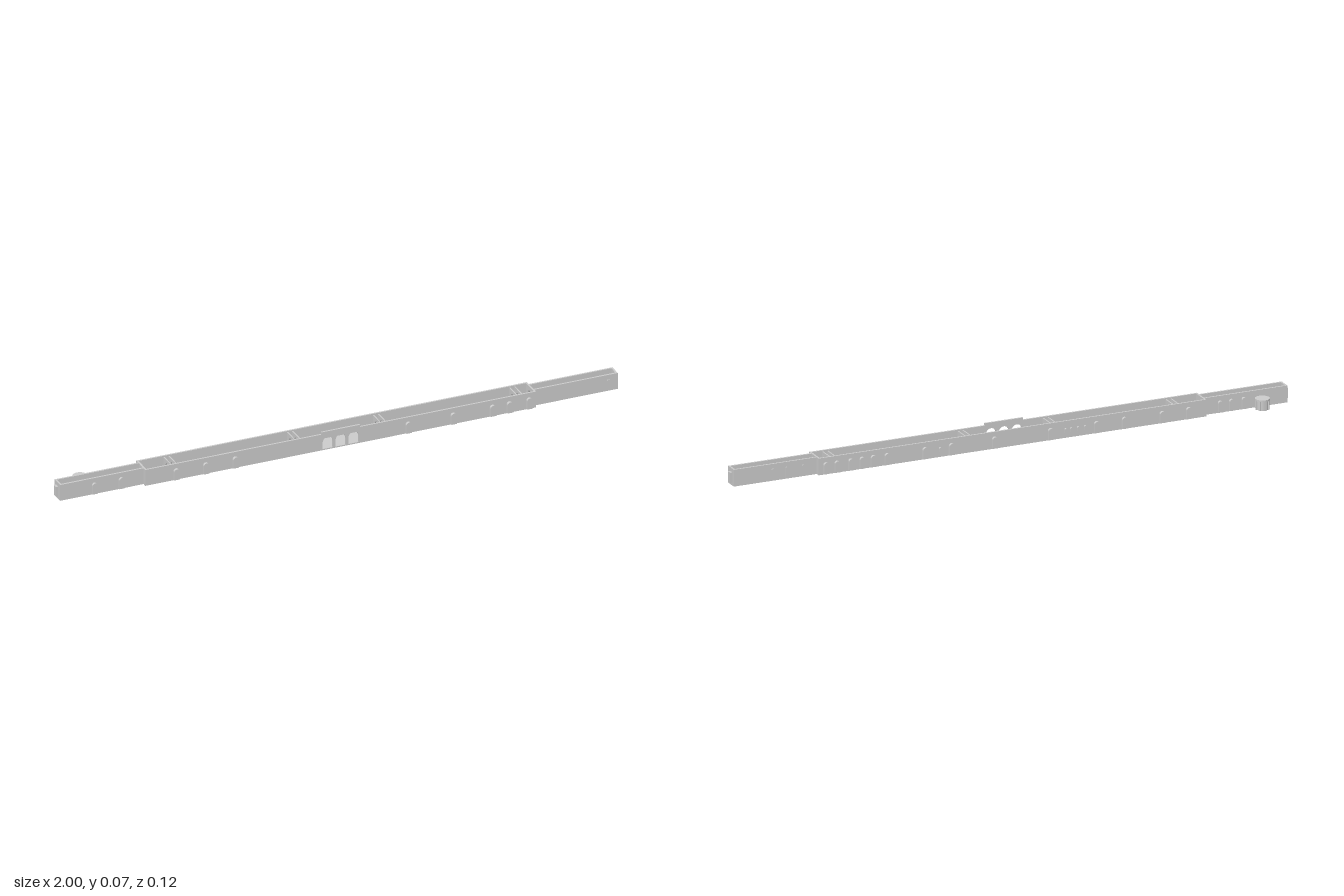
import * as THREE from 'three';

const WALL_H = 0.058, T = 0.006;
const MAIN = { x0: -0.695, x1: 0.695, z0: -0.024, z1: 0.05 };
const WING = { z0: -0.009, z1: 0.036, end: 0.992 };

export function createModel() {
  const model = new THREE.Group();
  model.name = 'longGallery';
  const material = new THREE.MeshStandardMaterial({ color: 0xcccccc, flatShading: true, side: THREE.DoubleSide });

  function add(name, geometry, parent = model) {
    const mesh = new THREE.Mesh(geometry, material);
    mesh.name = name;
    parent.add(mesh);
    return mesh;
  }

  // Box given by its limits on each axis
  function box(name, x0, x1, y0, y1, z0, z1, parent) {
    const g = new THREE.BoxGeometry(x1 - x0, y1 - y0, z1 - z0);
    g.translate((x0 + x1) / 2, (y0 + y1) / 2, (z0 + z1) / 2);
    return add(name, g, parent);
  }

  // Round-headed outline standing at y0
  function arch(PathType, cx, w, y0, top) {
    const p = new PathType(), r = w / 2;
    p.moveTo(cx - r, y0);
    p.lineTo(cx + r, y0);
    p.lineTo(cx + r, top - r);
    p.absarc(cx, top - r, r, 0, Math.PI, false);
    p.lineTo(cx - r, y0);
    return p;
  }

  function rectShape(x0, x1, y0, y1) {
    return new THREE.Shape([[x0, y0], [x1, y0], [x1, y1], [x0, y1]].map(([x, y]) => new THREE.Vector2(x, y)));
  }

  const extrude = (shape, depth) =>
    new THREE.ExtrudeGeometry(shape, { depth, bevelEnabled: false, curveSegments: 8 });

  // Wall across the gallery with an arched passage
  function crossWall(name, x, thickness, z0, z1, height, doorWidth) {
    const shape = rectShape(-z1, -z0, 0.001, height);
    shape.holes.push(arch(THREE.Path, -(WING.z0 + WING.z1) / 2, doorWidth, 0.005, 0.044));
    const g = extrude(shape, thickness);
    g.rotateY(Math.PI / 2);
    g.translate(x - thickness / 2, 0, 0);
    return add(name, g);
  }

  // Main hall: floor, back wall, front walls either side of the entrance
  box('mainFloor', MAIN.x0, MAIN.x1, 0, 0.004, MAIN.z0, MAIN.z1);
  box('mainBackWall', MAIN.x0, MAIN.x1, 0, WALL_H, MAIN.z0, MAIN.z0 + T);
  for (const s of [-1, 1]) {
    const [a, b] = [s * 0.068, s * 0.695].sort((p, q) => p - q);
    box('mainFrontWall', a, b, 0, WALL_H, MAIN.z1 - T, MAIN.z1);
    crossWall('mainEndWall', s * (MAIN.x1 - T / 2), T, MAIN.z0, MAIN.z1, WALL_H, 0.03);
  }

  // Raised entrance with three open arches
  const entrance = rectShape(-0.068, 0.068, 0, 0.066);
  for (const cx of [-0.046, 0, 0.046]) entrance.holes.push(arch(THREE.Path, cx, 0.036, 0.004, 0.046));
  const entranceGeometry = extrude(entrance, T);
  entranceGeometry.translate(0, 0, MAIN.z1 - T);
  add('entranceArcade', entranceGeometry);

  // Inner partitions, each a pair of thin walls
  for (const x of [-0.59, -0.15, 0.155, 0.64]) {
    for (const d of [-0.009, 0.009]) crossWall('partition', x + d, 0.004, MAIN.z0, MAIN.z1, 0.054, 0.03);
  }

  // Narrow wings at both ends with a door on each end wall
  for (const s of [-1, 1]) {
    const wing = new THREE.Group();
    wing.name = s > 0 ? 'leftWing' : 'rightWing';
    model.add(wing);
    const span = (p, q) => [s * p, s * q].sort((a, b) => a - b);
    const [x0, x1] = span(MAIN.x1 - T, WING.end);
    box('wingFloor', x0, x1, 0, 0.004, WING.z0, WING.z1, wing);
    box('wingBackWall', x0, x1, 0, WALL_H, WING.z0, WING.z0 + T, wing);
    box('wingFrontWall', x0, x1, 0, WALL_H, WING.z1 - T, WING.z1, wing);
    box('wingEndWall', ...span(WING.end - T, WING.end), 0, WALL_H, WING.z0, WING.z1, wing);
    box('endDoor', ...span(WING.end - 0.002, 1), 0.01, 0.045, 0.003, 0.021, wing);
  }

  // Arched door surrounds standing out from a wall; side is +1 for front, -1 for back
  function doors(name, xs, wallZ, side, width, depth, y0 = 0.003, top = 0.042) {
    for (const x of xs) {
      const shape = arch(THREE.Shape, 0, width, y0, top);
      const g = extrude(shape, depth + 0.001);
      if (side < 0) g.rotateY(Math.PI);
      g.translate(x, 0, wallZ - side * 0.001);
      add(name, g);
    }
  }
  doors('frontDoor', [-0.585, -0.48, -0.375, 0.24, 0.4, 0.54, 0.6, 0.67], MAIN.z1, 1, 0.02, 0.009);
  doors('wingFrontDoor', [-0.87, -0.775], WING.z1, 1, 0.018, 0.008);
  doors('wingFrontPanel', [0.96], WING.z1, 1, 0.014, 0.002);
  doors('backDoor', [-0.63, -0.535, -0.4, -0.3, -0.135, 0.065, 0.22, 0.315, 0.45, 0.5, 0.54, 0.58, 0.63, 0.67],
    MAIN.z0, -1, 0.018, 0.009);
  doors('backNiche', [-0.26, -0.235, -0.21, -0.19, 0.26], MAIN.z0, -1, 0.009, 0.006, 0.018, 0.034);
  doors('wingBackDoor', [-0.835, -0.79, -0.75], WING.z0, -1, 0.016, 0.009);
  doors('wingBackPanel', [0.74, 0.8, 0.85], WING.z0, -1, 0.016, 0.002);

  // Round pavilion behind the right wing
  const pavilion = new THREE.Group();
  pavilion.name = 'pavilion';
  pavilion.position.set(-0.89, 0, -0.035);
  model.add(pavilion);
  const drum = new THREE.CylinderGeometry(0.021, 0.021, 0.034, 16);
  drum.translate(0, 0.018, 0);
  add('pavilionDrum', drum, pavilion);
  const cap = new THREE.CylinderGeometry(0.025, 0.025, 0.006, 16);
  cap.translate(0, 0.035, 0);
  add('pavilionCap', cap, pavilion);
  for (let i = 0; i < 8; i++) {
    const rib = new THREE.BoxGeometry(0.006, 0.034, 0.005);
    rib.translate(0, 0.018, 0.0215);
    rib.rotateY((i / 8) * Math.PI * 2);
    add('pavilionRib', rib, pavilion);
  }

  return model;
}
